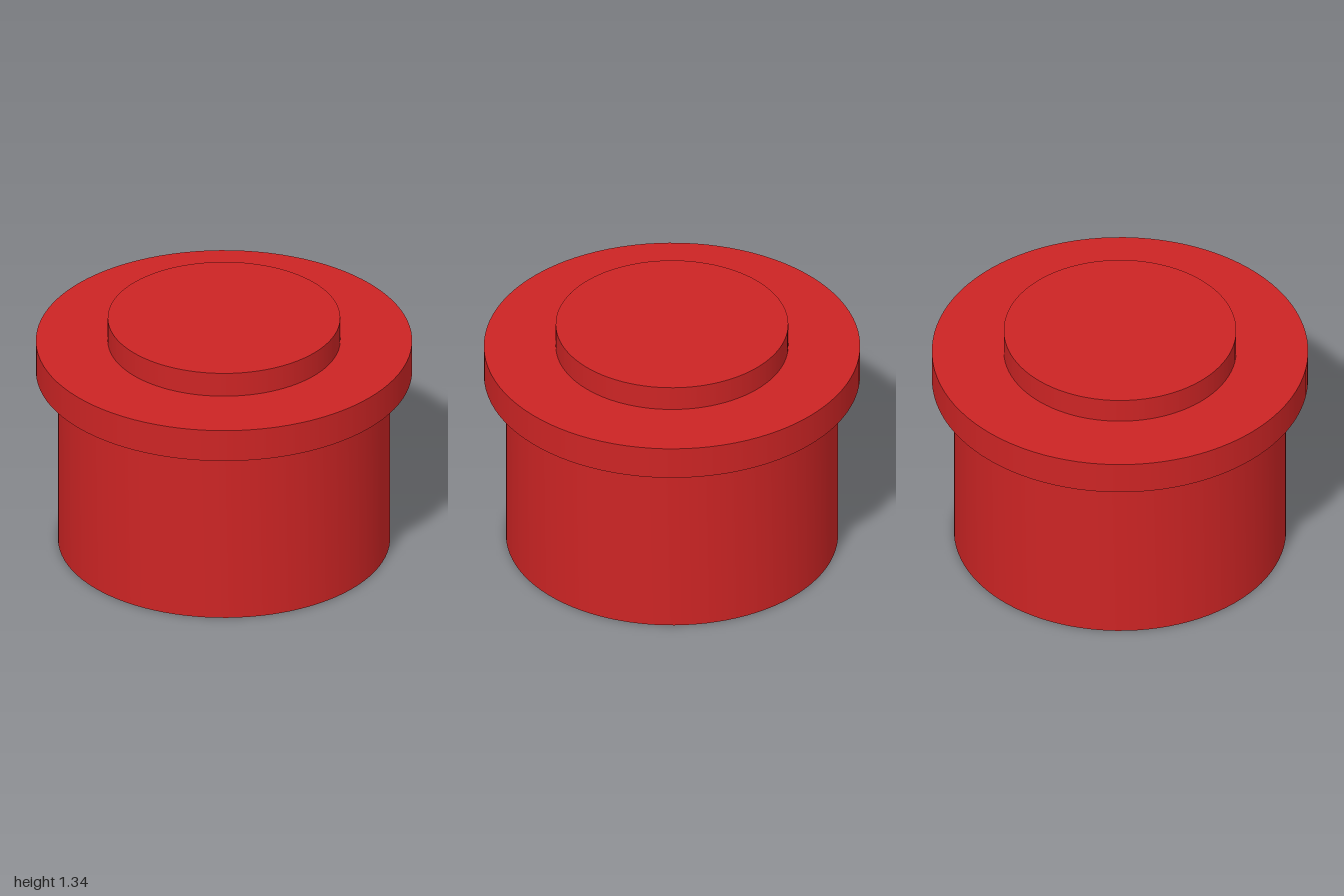
import * as THREE from 'three';
import { toCreasedNormals } from 'three/addons/utils/BufferGeometryUtils.js';

const SIDES = 96;
const BODY_R = 0.883, FLANGE_R = 1, CAP_R = 0.618, BORE_R = 0.49;
const BORE_TOP = 0.44, BODY_TOP = 1.013, FLANGE_TOP = 1.197, CAP_TOP = 1.335;

export function createModel() {
  const group = new THREE.Group();
  group.name = 'flangedPlug';
  const red = new THREE.MeshStandardMaterial({ color: 0xcc2424 });
  red.name = 'red';

  const add = (name, geometry) => {
    const mesh = new THREE.Mesh(geometry, red);
    mesh.name = name;
    group.add(mesh);
    return mesh;
  };
  const disc = (name, radius, bottom, top) => {
    const h = top - bottom;
    add(name, new THREE.CylinderGeometry(radius, radius, h, SIDES)).position.y = bottom + h / 2;
  };

  // Body with a blind bore: bore wall, bottom ring, outer wall
  const profile = [
    [BORE_R, BORE_TOP], [BORE_R, 0], [BODY_R, 0], [BODY_R, BODY_TOP],
  ].map(([r, y]) => new THREE.Vector2(r, y));
  add('body', toCreasedNormals(new THREE.LatheGeometry(profile, SIDES), 0.6));

  // Closed end of the bore, facing down
  const ceiling = new THREE.CircleGeometry(BORE_R, SIDES).rotateX(Math.PI / 2);
  add('boreCeiling', ceiling).position.y = BORE_TOP;

  // Flange and raised cap
  disc('flange', FLANGE_R, BODY_TOP, FLANGE_TOP);
  disc('cap', CAP_R, FLANGE_TOP, CAP_TOP);

  return group;
}
